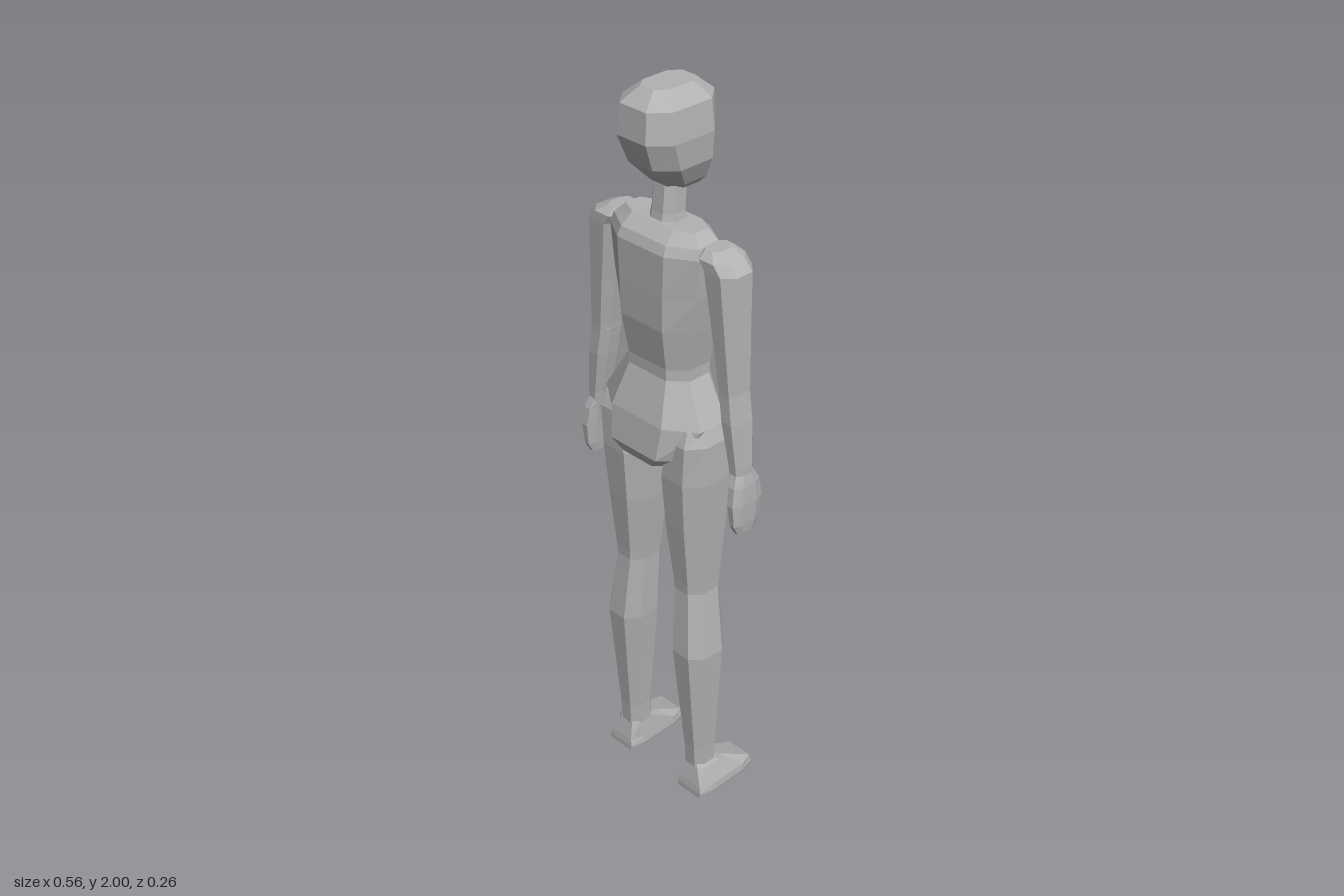
import * as THREE from 'three';

const grey = new THREE.MeshStandardMaterial({ color: 0xb2b2b2, flatShading: true });
grey.name = 'clay grey';

// Stack of bevelled rectangles, bottom to top.
// Each ring: [y, xMin, xMax, zMin, zMax, bevelX, bevelZ] with bevels as fractions of the size.
function loft(name, rings, side = 1) {
  const pos = [], index = [], n = 8;
  for (const [y, a, b, z0, z1, fx = 0.26, fz = 0.26] of rings) {
    const x0 = side > 0 ? a : -b, x1 = side > 0 ? b : -a;
    const cx = (x1 - x0) * fx, cz = (z1 - z0) * fz;
    const ring = [
      [x1, z1 - cz], [x1 - cx, z1], [x0 + cx, z1], [x0, z1 - cz],
      [x0, z0 + cz], [x0 + cx, z0], [x1 - cx, z0], [x1, z0 + cz],
    ];
    for (const [x, z] of ring) pos.push(x, y, z);
  }
  for (let i = 0; i < rings.length - 1; i++) {
    for (let j = 0; j < n; j++) {
      const a = i * n + j, b = i * n + (j + 1) % n;
      index.push(a, a + n, b, b, a + n, b + n);
    }
  }
  const top = (rings.length - 1) * n;
  for (let j = 1; j < n - 1; j++) {
    index.push(0, j, j + 1, top, top + j + 1, top + j);
  }
  const geo = new THREE.BufferGeometry();
  geo.setAttribute('position', new THREE.Float32BufferAttribute(pos, 3));
  geo.setIndex(index);
  geo.computeVertexNormals();
  const mesh = new THREE.Mesh(geo, grey);
  mesh.name = name;
  return mesh;
}

// Ring symmetric about the middle of the body
const mid = (y, w, z0, z1, fx, fz) => [y, -w, w, z0, z1, fx, fz];

export function createModel() {
  const model = new THREE.Group();
  model.name = 'mannequin';

  // Head, with the face towards -z
  model.add(loft('head', [
    mid(1.745, 0.035, -0.08, 0.02, 0.28, 0.25),
    mid(1.765, 0.055, -0.093, 0.045, 0.28, 0.25),
    mid(1.82, 0.083, -0.096, 0.097, 0.26, 0.24),
    mid(1.89, 0.09, -0.097, 0.124, 0.24, 0.22),
    mid(1.965, 0.082, -0.094, 0.118, 0.24, 0.22),
    mid(2.0, 0.042, -0.055, 0.075, 0.25, 0.22),
  ]));

  model.add(loft('neck', [
    mid(1.64, 0.045, -0.032, 0.055),
    mid(1.69, 0.038, -0.028, 0.045),
    mid(1.79, 0.036, -0.035, 0.035),
  ]));

  // Chest and waist
  model.add(loft('torso', [
    mid(1.27, 0.106, -0.062, 0.08, 0.2, 0.27),
    mid(1.31, 0.106, -0.066, 0.08, 0.2, 0.27),
    mid(1.42, 0.125, -0.08, 0.098, 0.22, 0.27),
    mid(1.51, 0.138, -0.113, 0.1, 0.24, 0.22),
    mid(1.62, 0.148, -0.068, 0.1, 0.24, 0.26),
    mid(1.645, 0.142, -0.055, 0.09, 0.24, 0.28),
    mid(1.672, 0.115, -0.03, 0.058, 0.2, 0.25),
  ]));

  // Hips tapering to the crotch
  model.add(loft('pelvis', [
    mid(1.015, 0.03, -0.01, 0.06),
    mid(1.047, 0.1, -0.05, 0.115, 0.25, 0.3),
    mid(1.08, 0.13, -0.067, 0.13, 0.2, 0.3),
    mid(1.17, 0.165, -0.075, 0.118, 0.24, 0.28),
    mid(1.28, 0.106, -0.062, 0.08, 0.2, 0.27),
  ]));

  for (const side of [1, -1]) {
    const label = side > 0 ? 'left' : 'right';

    model.add(loft(label + 'Thigh', [
      [0.67, 0.058, 0.155, -0.044, 0.068],
      [0.70, 0.055, 0.157, -0.047, 0.07],
      [0.87, 0.036, 0.17, -0.062, 0.088],
      [1.02, 0.028, 0.18, -0.07, 0.1],
      [1.13, 0.05, 0.18, -0.074, 0.1],
      [1.17, 0.075, 0.165, -0.06, 0.085],
    ], side));

    model.add(loft(label + 'Shin', [
      [0.08, 0.09, 0.16, -0.026, 0.05],
      [0.15, 0.088, 0.162, -0.026, 0.054],
      [0.48, 0.062, 0.18, -0.042, 0.085],
      [0.67, 0.058, 0.155, -0.044, 0.068],
      [0.69, 0.064, 0.15, -0.04, 0.06],
    ], side));

    // Foot with the toes towards -z
    model.add(loft(label + 'Foot', [
      [0, 0.085, 0.186, -0.133, 0.065, 0.1, 0.2],
      [0.015, 0.082, 0.189, -0.133, 0.065, 0.1, 0.2],
      [0.035, 0.084, 0.187, -0.131, 0.062, 0.13, 0.2],
      [0.085, 0.09, 0.167, -0.035, 0.05, 0.2, 0.2],
      [0.1, 0.095, 0.157, -0.024, 0.045, 0.25, 0.25],
    ], side));

    model.add(loft(label + 'UpperArm', [
      [1.28, 0.19, 0.254, -0.029, 0.044],
      [1.31, 0.187, 0.254, -0.03, 0.045],
      [1.45, 0.165, 0.25, -0.036, 0.052],
      [1.605, 0.14, 0.246, -0.044, 0.06],
      [1.63, 0.125, 0.222, -0.044, 0.06],
      [1.647, 0.138, 0.185, -0.028, 0.04],
    ], side));

    model.add(loft(label + 'Forearm', [
      [1.06, 0.23, 0.272, -0.018, 0.037],
      [1.1, 0.224, 0.272, -0.02, 0.039],
      [1.22, 0.2, 0.264, -0.03, 0.046],
      [1.3, 0.187, 0.254, -0.029, 0.044],
    ], side));

    model.add(loft(label + 'Hand', [
      [0.912, 0.25, 0.272, -0.024, 0.034],
      [0.94, 0.247, 0.276, -0.036, 0.05],
      [1.0, 0.242, 0.279, -0.045, 0.057],
      [1.05, 0.236, 0.277, -0.036, 0.05],
      [1.08, 0.23, 0.272, -0.02, 0.038],
    ], side));

    model.add(loft(label + 'Thumb', [
      [0.975, 0.227, 0.245, -0.055, -0.036],
      [1.005, 0.226, 0.25, -0.057, -0.03],
      [1.06, 0.232, 0.258, -0.034, -0.005],
    ], side));
  }

  return model;
}
